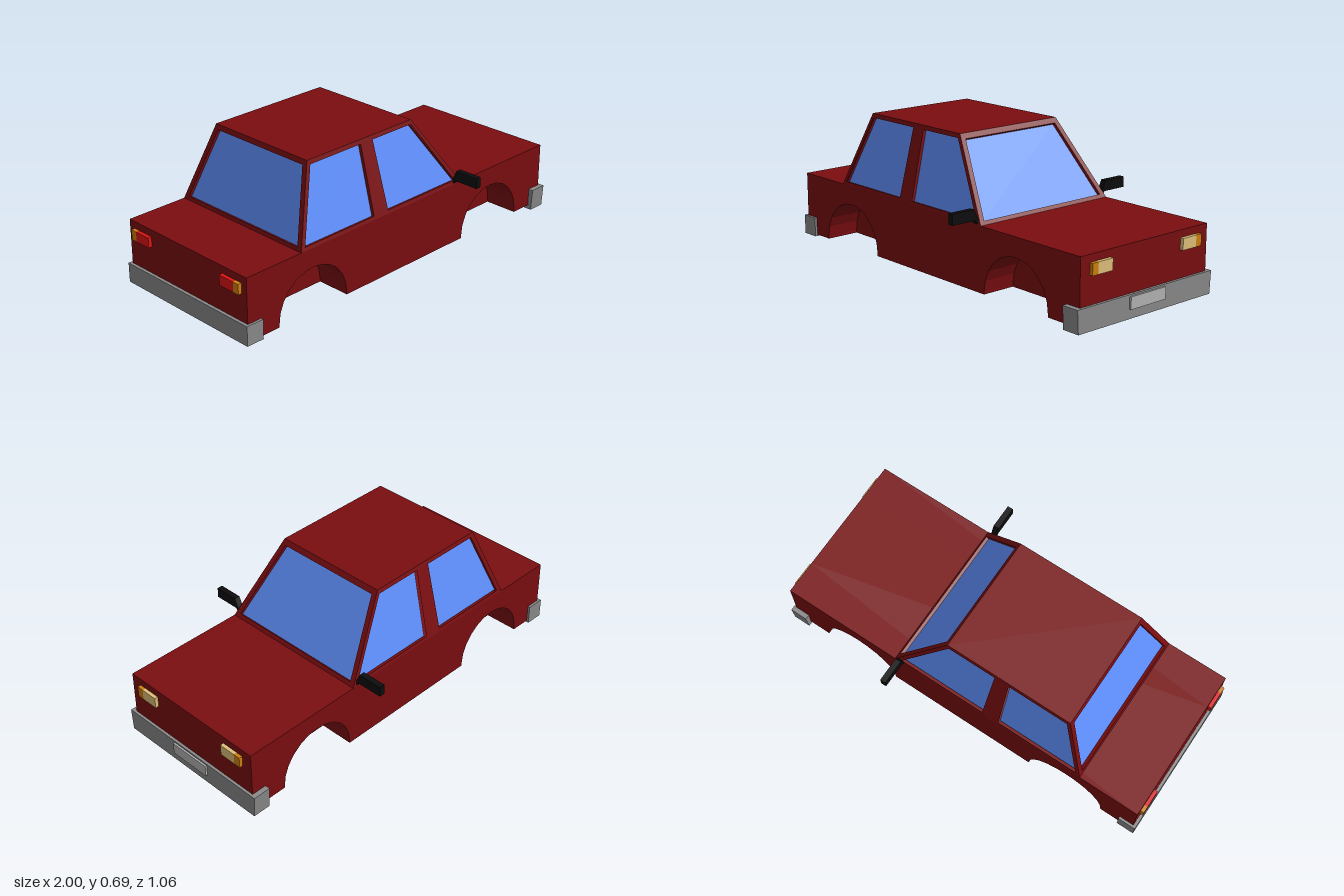
import * as THREE from 'three';

const mat = (color) => new THREE.MeshStandardMaterial({ color, flatShading: true });
const paint = mat(0x7a0d10), glass = mat(0x6090ff), chrome = mat(0x8a8a8a), plateGrey = mat(0xb4b4b4);
const black = mat(0x0c0c0c), cream = mat(0xe0c07a), orange = mat(0xd08010), red = mat(0xdd1414);
glass.side = THREE.DoubleSide;

const BELT = 0.327, ROOF = 0.685, HALF = 0.39, INNER = 0.22;

export function createModel() {
  const car = new THREE.Group();
  car.name = 'car';

  const add = (name, geometry, material, parent = car) => {
    const mesh = new THREE.Mesh(geometry, material);
    mesh.name = name;
    parent.add(mesh);
    return mesh;
  };
  // Box given by its minimum and maximum on each axis
  const box = (name, [x0, x1], [y0, y1], [z0, z1], material) => {
    const g = new THREE.BoxGeometry(x1 - x0, y1 - y0, z1 - z0);
    g.translate((x0 + x1) / 2, (y0 + y1) / 2, (z0 + z1) / 2);
    return add(name, g, material);
  };
  const polygon = (pts) => new THREE.Shape(pts.map(([a, b]) => new THREE.Vector2(a, b)));

  // Lower body: solid core plus side sections cut by the wheel arches
  box('bodyCore', [-0.98, 0.975], [0.02, BELT], [-INNER, INNER], paint);
  const outline = [[-0.98, BELT], [-0.98, 0.02]];
  for (const cx of [-0.6, 0.585]) {
    outline.push([cx - 0.203, 0.02]);
    for (let i = 0; i <= 12; i++) {
      const a = Math.PI * (1 - i / 12);
      outline.push([cx + 0.203 * Math.cos(a), 0.032 + 0.203 * Math.sin(a)]);
    }
    outline.push([cx + 0.203, 0.02]);
  }
  outline.push([0.975, 0.02], [0.975, BELT]);
  for (const [name, z] of [['leftWing', INNER], ['rightWing', -HALF]]) {
    const g = new THREE.ExtrudeGeometry(polygon(outline), { depth: HALF - INNER, bevelEnabled: false });
    g.translate(0, 0, z);
    add(name, g, paint);
  }

  // Leaning cabin panel with window holes; points are (across, height)
  const panel = (name, frame, windows, lean, yaw, x, z) => {
    const tilt = Math.atan(lean / (ROOF - BELT));
    const flat = (pts) => pts.map(([a, y]) => [a, (y - BELT) / Math.cos(tilt)]);
    const shape = polygon(flat(frame));
    shape.holes = windows.map((w) => polygon(flat(w)));
    const side = new THREE.Group();
    side.name = name;
    side.rotation.set(-tilt, yaw, 0, 'YXZ');
    side.position.set(x, BELT, z);
    const g = new THREE.ExtrudeGeometry(shape, { depth: 0.022, bevelEnabled: false });
    g.translate(0, 0, -0.022);
    add(name + 'Frame', g, paint, side);
    for (const w of windows) {
      const pane = new THREE.ShapeGeometry(polygon(flat(w)));
      pane.translate(0, 0, -0.016);
      add(name + 'Glass', pane, glass, side);
    }
    car.add(side);
  };

  // Cabin sides, mirrored
  const sideFrame = [[-0.67, BELT], [0.36, BELT], [0.11, ROOF], [-0.54, ROOF]];
  const sideWindows = [
    [[-0.645, 0.343], [-0.22, 0.343], [-0.22, 0.665], [-0.53, 0.665]],
    [[-0.13, 0.343], [0.325, 0.343], [0.105, 0.665], [-0.145, 0.665]],
  ];
  for (const s of [1, -1]) {
    const flip = (pts) => pts.map(([a, y]) => [a * s, y]);
    panel(s > 0 ? 'leftCabinSide' : 'rightCabinSide', flip(sideFrame), sideWindows.map(flip),
      HALF - 0.295, s > 0 ? 0 : Math.PI, 0, s * HALF);
  }

  // Windscreen and rear screen
  const endFrame = [[-HALF, BELT], [HALF, BELT], [0.295, ROOF], [-0.295, ROOF]];
  const endWindow = [[-0.36, 0.343], [0.36, 0.343], [0.275, 0.662], [-0.275, 0.662]];
  panel('windscreen', endFrame, [endWindow], 0.25, Math.PI / 2, 0.36, 0);
  panel('rearScreen', endFrame, [endWindow], 0.13, -Math.PI / 2, -0.67, 0);
  box('roof', [-0.54, 0.11], [ROOF - 0.02, ROOF], [-0.295, 0.295], paint);

  // Bumpers and number plate; the front bumper narrows toward its foot
  const front = box('frontBumper', [0.9, 0.988], [0, 0.108], [-0.415, 0.415], chrome);
  const p = front.geometry.attributes.position;
  for (let i = 0; i < p.count; i++) if (p.getY(i) < 0.05) p.setZ(i, p.getZ(i) * 0.985);
  front.geometry.computeVertexNormals();
  box('rearBumper', [-0.995, -0.905], [0.012, 0.108], [-0.402, 0.402], chrome);
  box('numberPlate', [0.98, 0.997], [0.043, 0.1], [-0.108, 0.108], plateGrey);

  // Lamps and door mirrors on both sides
  const mirrorShape = [[0.53, 0.4], [0.407, 0.4], [0.387, 0.355], [0.388, 0.33], [0.402, 0.349], [0.53, 0.349]];
  for (const s of [1, -1]) {
    const side = s > 0 ? 'left' : 'right';
    const span = (a, b) => (s > 0 ? [a, b] : [-b, -a]);
    box(side + 'Headlamp', [0.965, 0.992], [0.238, 0.292], span(0.217, 0.302), cream);
    box(side + 'FrontIndicator', [0.965, 0.992], [0.238, 0.292], span(0.302, 0.336), orange);
    box(side + 'TailLamp', [-0.998, -0.97], [0.242, 0.292], span(0.238, 0.325), red);
    box(side + 'RearIndicator', [-0.998, -0.97], [0.242, 0.292], span(0.325, 0.358), orange);

    const g = new THREE.ExtrudeGeometry(polygon(mirrorShape.map(([z, y]) => [-z * s, y])),
      { depth: 0.028, bevelEnabled: false });
    g.rotateY(Math.PI / 2);
    g.translate(0.31, 0, 0);
    add(side + 'Mirror', g, black);
  }
  return car;
}
